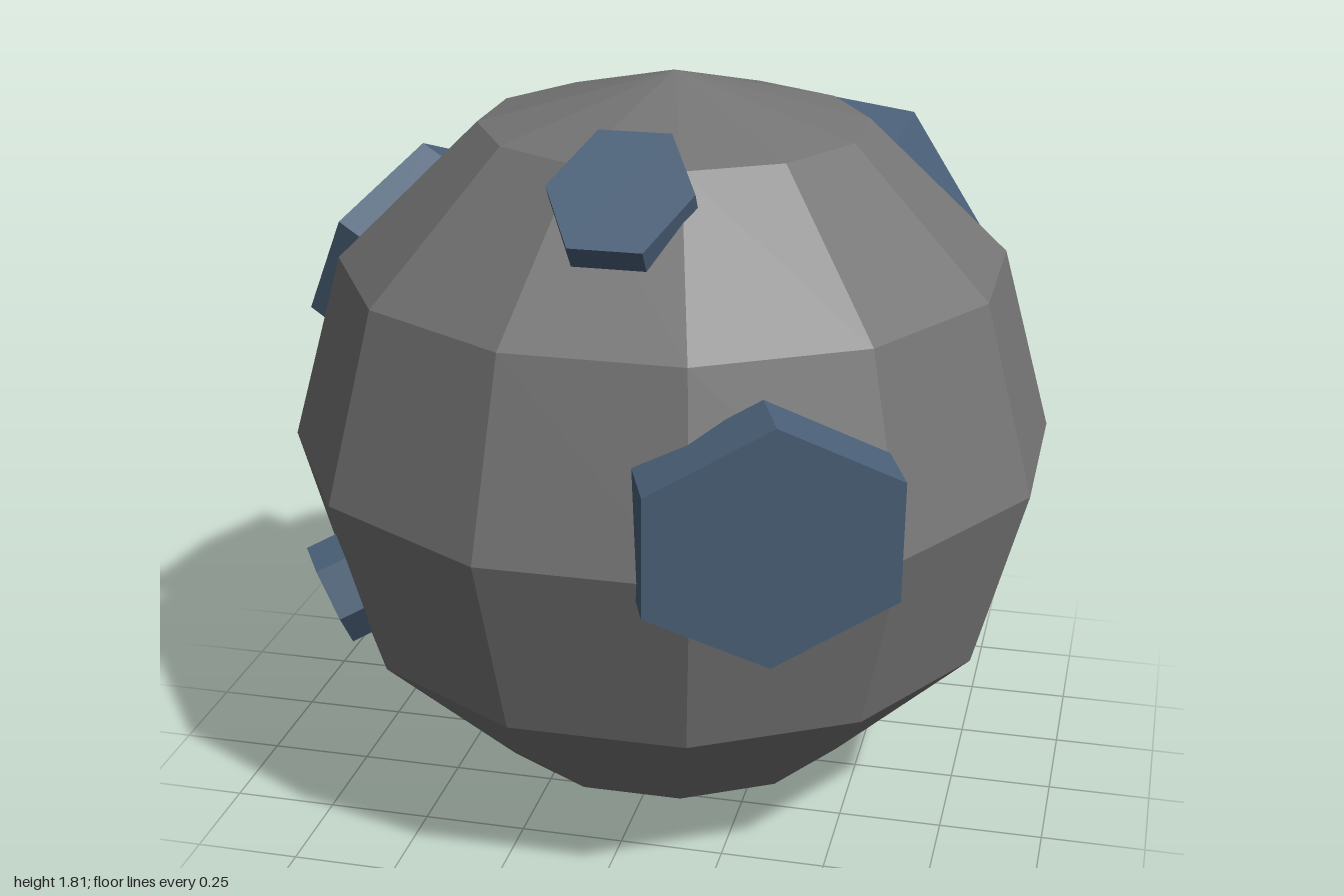
import * as THREE from 'three';

export function createModel() {
  const model = new THREE.Group();
  const stone = new THREE.MeshStandardMaterial({ color: 0x757575, flatShading: true });
  stone.name = 'grey stone';
  const slate = new THREE.MeshStandardMaterial({ color: 0x4a6078, flatShading: true });
  slate.name = 'blue slate';

  // Faceted ball: 12 sides, 6 bands, flat sides square to the axes
  const ballGeometry = new THREE.SphereGeometry(1, 12, 6);
  ballGeometry.rotateY(Math.PI / 12);
  ballGeometry.scale(0.934, 0.905, 0.934);
  const ball = new THREE.Mesh(ballGeometry, stone);
  ball.name = 'ball';
  ball.position.set(0.02, 0.905, 0.02);
  model.add(ball);

  // Six-sided plate: centre of its outer face, outward normal, direction of one corner,
  // half width across corners, half width across flats, thickness
  function addPlate(name, centre, normal, corner, halfCorner, halfFlat, thickness) {
    const y = new THREE.Vector3(...normal).normalize();
    const z = new THREE.Vector3(...corner);
    z.addScaledVector(y, -z.dot(y)).normalize();
    const x = new THREE.Vector3().crossVectors(y, z);
    const geometry = new THREE.CylinderGeometry(1, 1, 1, 6);
    geometry.translate(0, -0.5, 0);
    geometry.scale(halfFlat / Math.sin(Math.PI / 3), thickness, halfCorner);
    const plate = new THREE.Mesh(geometry, slate);
    plate.name = name;
    plate.quaternion.setFromRotationMatrix(new THREE.Matrix4().makeBasis(x, y, z));
    plate.position.set(...centre);
    model.add(plate);
  }

  addPlate('upperFrontPlate', [0.02, 1.659, 0.544], [0, 0.822, 0.568], [1, 0, 0], 0.168, 0.169, 0.09);
  addPlate('frontPlate', [0.435, 0.995, 0.888], [0.37, -0.05, 0.93], [0.01, 0.565, 0.027], 0.283, 0.281, 0.15);
  addPlate('largeBackPlate', [0.277, 1.238, -0.817], [0.192, 0.368, -0.91], [-0.445, 0.04, -0.07], 0.456, 0.395, 0.22);
  addPlate('rightSidePlate', [-0.785, 1.296, -0.224], [-0.861, 0.442, -0.25], [0.112, 0.252, 0.06], 0.28, 0.281, 0.15);
  addPlate('lowerRightPlate', [-0.744, 0.562, 0.45], [-0.812, -0.364, 0.457], [0.057, -0.015, 0.089], 0.113, 0.116, 0.1);

  return model;
}
